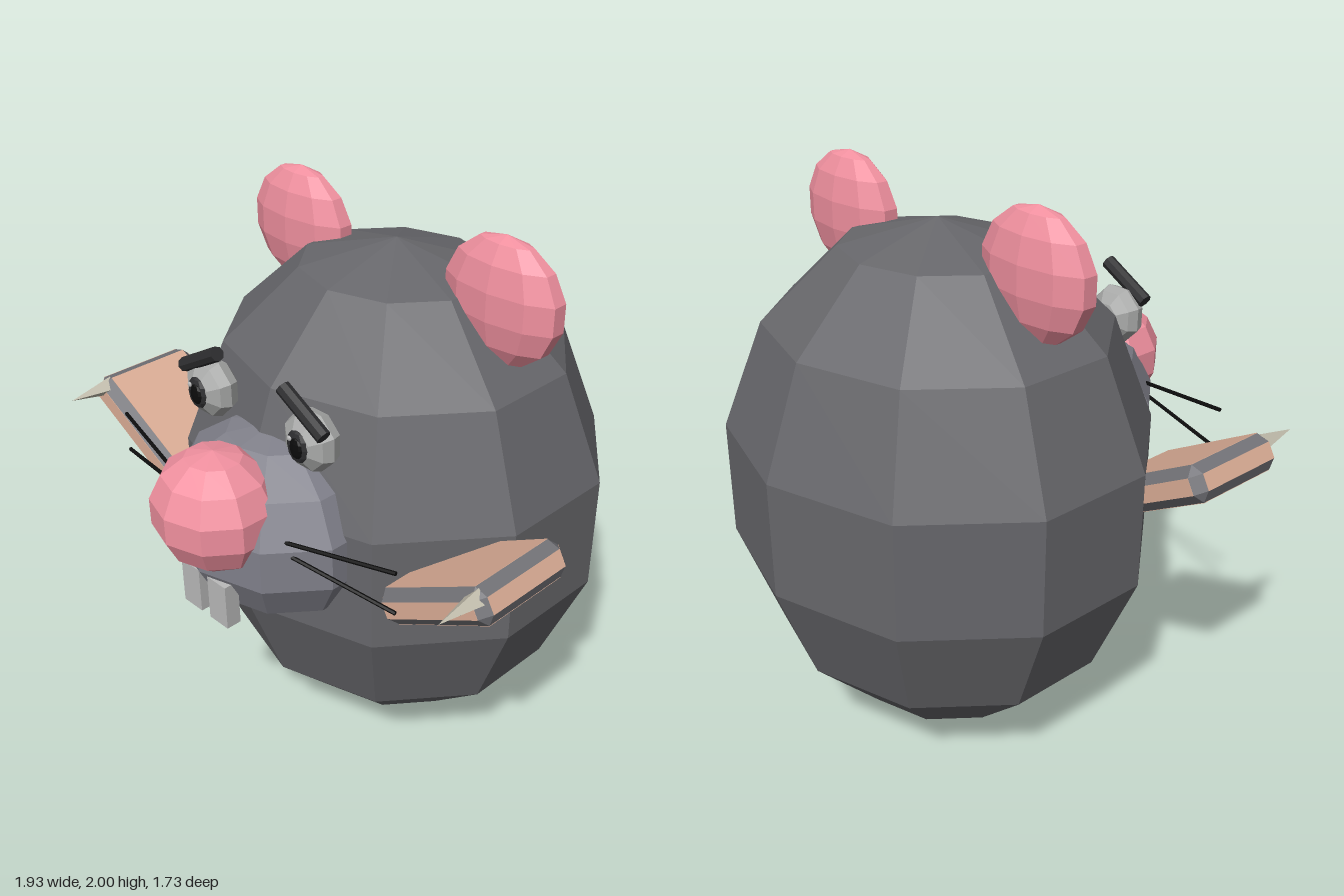
import * as THREE from 'three';
import { ConvexGeometry } from 'three/addons/geometries/ConvexGeometry.js';

const mat = (color) => new THREE.MeshStandardMaterial({ color, flatShading: true });
const FUR = mat(0x67676b), MUZZLE = mat(0x80808a), PINK = mat(0xf0909f), TAN = mat(0xdcae96),
  PAW = mat(0x727277), DARK = mat(0x2e2e30), BLACK = mat(0x0c0c0c), EYE = mat(0xa9aaa9),
  TOOTH = mat(0xbababa), CLAW = mat(0xc4bfae);

export function createModel() {
  const root = new THREE.Group();

  function add(name, geometry, material, pos = [0, 0, 0], parent = root) {
    const mesh = new THREE.Mesh(geometry, material);
    mesh.name = name;
    mesh.position.set(...pos);
    parent.add(mesh);
    return mesh;
  }

  // Faceted ellipsoid with an upright pole and one vertex facing forward
  function blob(name, material, pos, radii, parent) {
    const g = new THREE.SphereGeometry(1, 10, 7).rotateY(Math.PI / 2).scale(...radii);
    return add(name, g, material, pos, parent);
  }

  // Thin rod between two points
  function rod(name, material, a, b, radius, sides, parent) {
    const from = new THREE.Vector3(...a), to = new THREE.Vector3(...b);
    const dir = to.clone().sub(from);
    const mesh = add(name, new THREE.CylinderGeometry(radius, radius, dir.length(), sides),
      material, from.add(to).multiplyScalar(0.5).toArray(), parent);
    mesh.quaternion.setFromUnitVectors(new THREE.Vector3(0, 1, 0), dir.normalize());
    return mesh;
  }

  // Box with every edge chamfered
  function chamferedBox(w, h, d, c) {
    const points = [];
    for (const x of [-1, 1]) for (const y of [-1, 1]) for (const z of [-1, 1]) {
      for (const [a, b, e] of [[0, c, c], [c, 0, c], [c, c, 0]]) {
        points.push(new THREE.Vector3(x * (w / 2 - a), y * (h / 2 - b), z * (d / 2 - e)));
      }
    }
    return new ConvexGeometry(points);
  }

  // Body and face
  blob('body', FUR, [0, 0.935, -0.155], [0.805, 0.93, 0.73]);
  blob('muzzle', MUZZLE, [0, 1.045, 0.4], [0.405, 0.345, 0.36]);
  blob('nose', PINK, [0, 1.18, 0.66], [0.226, 0.21, 0.212]);

  for (const s of [1, -1]) {
    const side = s > 0 ? 'left' : 'right';

    blob(side + 'Ear', PINK, [s * 0.46, 1.785, -0.155], [0.235, 0.215, 0.088]);
    add(side + 'Tooth', new THREE.BoxGeometry(0.09, 0.165, 0.055), TOOTH, [s * 0.067, 0.87, 0.71]);

    // Eye: pole faces forward, with a flattened iris, pupil and glint
    const eye = new THREE.Group();
    eye.name = side + 'Eye';
    eye.position.set(s * 0.242, 1.448, 0.46);
    root.add(eye);
    const ball = new THREE.SphereGeometry(1, 8, 6).rotateX(Math.PI / 2)
      .rotateZ(Math.PI / 8).scale(0.106, 0.106, 0.072);
    add('eyeball', ball, EYE, [0, 0, 0], eye);
    const iris = new THREE.SphereGeometry(1, 8, 6);
    add('iris', iris.clone().scale(0.046, 0.056, 0.016), DARK, [0, 0, 0.063], eye);
    add('pupil', iris.clone().scale(0.028, 0.036, 0.01), BLACK, [0.006, 0, 0.074], eye);
    add('glint', iris.clone().scale(0.009, 0.009, 0.005), TOOTH, [-0.016, 0.03, 0.08], eye);

    // Worried brow, high at the inner end
    rod(side + 'Brow', DARK, [s * 0.335, 1.508, 0.498], [s * 0.155, 1.61, 0.498], 0.025, 8);

    // Whiskers
    rod(side + 'UpperWhisker', BLACK, [s * 0.25, 1.145, 0.612], [s * 0.67, 1.2, 0.53], 0.007, 6);
    rod(side + 'LowerWhisker', BLACK, [s * 0.25, 1.107, 0.612], [s * 0.67, 1.052, 0.53], 0.007, 6);

    // Paw: slanted chamfered slab with tan panels on its faces
    const paw = new THREE.Group();
    paw.name = side + 'Paw';
    paw.position.set(s * 0.745, 1.07, 0.27);
    paw.rotation.z = s * 0.51;
    root.add(paw);
    const w = 0.475, h = 0.125, d = 0.4, c = 0.034, e = 0.003;
    add('pawEdge', chamferedBox(w, h, d, c), PAW, [0, 0, 0], paw);
    add('topPanel', new THREE.BoxGeometry(w - 2 * c, h + e, d - 2 * c), TAN, [0, 0, 0], paw);
    add('endPanel', new THREE.BoxGeometry(w + e, h - 2 * c, d - 2 * c), TAN, [0, 0, 0], paw);
    add('frontPanel', new THREE.BoxGeometry(w - 2 * c, h - 2 * c, d + e), TAN, [0, 0, 0], paw);

    // Claw at the outer front corner
    const claw = new THREE.ConeGeometry(0.037, 0.17, 4).rotateX(Math.PI / 2);
    add(side + 'Claw', claw, CLAW, [s * 0.905, 1.188, 0.52]);
  }
  return root;
}
